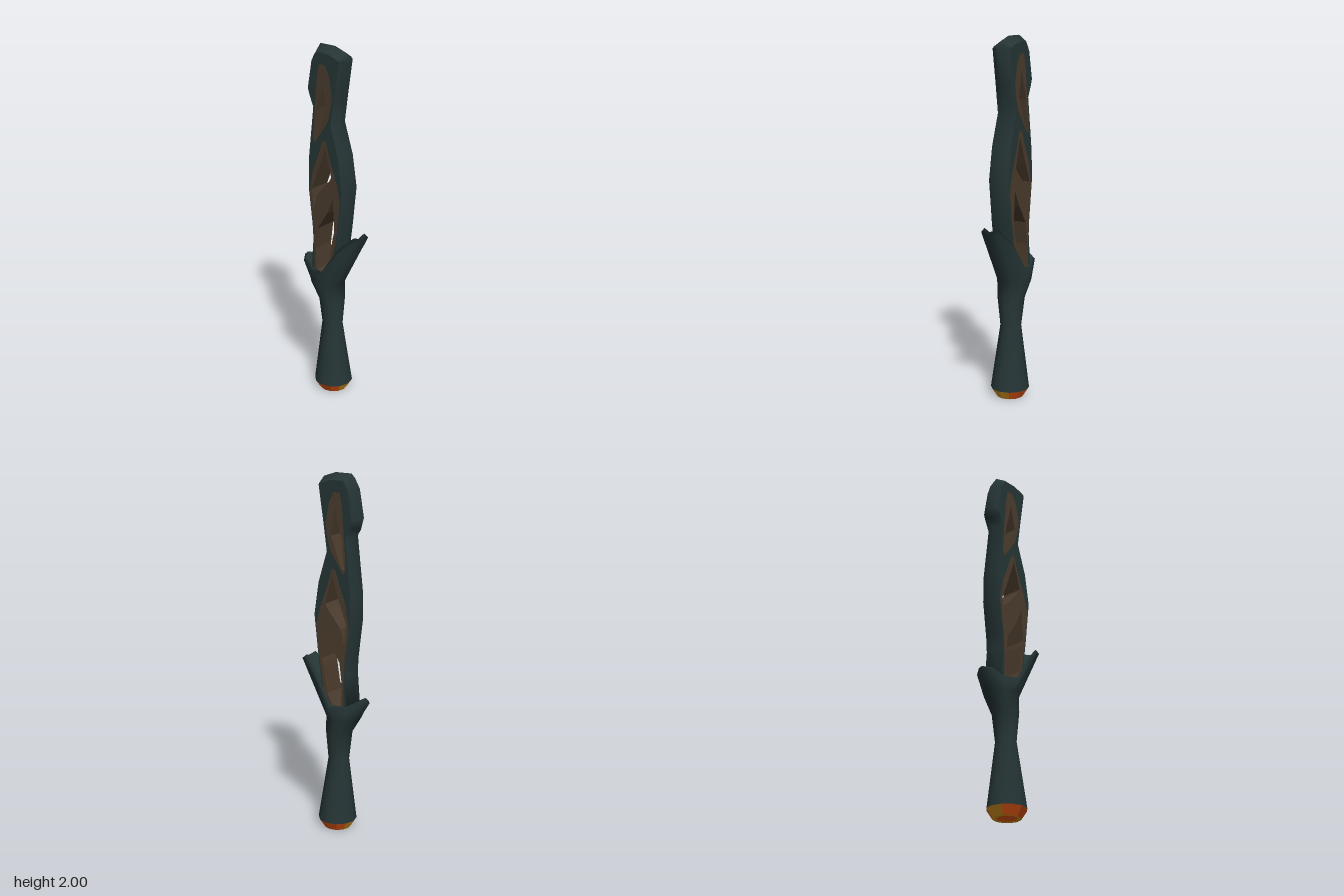
import * as THREE from 'three';

const mat = (name, color, side = THREE.DoubleSide) => {
  const m = new THREE.MeshStandardMaterial({ color, side });
  m.name = name;
  return m;
};

// Skin closed rings of [x, y, z] points that all have the same count
function loft(rings) {
  const n = rings[0].length, index = [];
  for (let r = 0; r < rings.length - 1; r++) {
    for (let i = 0; i < n; i++) {
      const a = r * n + i, b = r * n + (i + 1) % n;
      index.push(a, b, b + n, a, b + n, a + n);
    }
  }
  const g = new THREE.BufferGeometry();
  g.setAttribute('position', new THREE.Float32BufferAttribute(rings.flat(2), 3));
  g.setIndex(index);
  g.computeVertexNormals();
  return g;
}

const oval = (y, rx, rz, zc, n = 12) => Array.from({ length: n }, (_, i) => {
  const a = (i / n) * Math.PI * 2;
  return [rx * Math.sin(a), y, zc + rz * Math.cos(a)];
});

// The blade grows slightly thicker toward the guard
const widen = (y) => 1 + 0.16 * THREE.MathUtils.clamp((1.9 - y) / 0.8, 0, 1);

// Plate with holes, drawn as [z, y] outlines and centred on x = 0
function plate(outline, holes, half) {
  const pts = (list) => list.map(([z, y]) => new THREE.Vector2(-z, y));
  const shape = new THREE.Shape(pts(outline));
  holes.forEach((h) => shape.holes.push(new THREE.Path(pts(h))));
  const g = new THREE.ExtrudeGeometry(shape, { depth: 2 * half, bevelEnabled: false });
  g.translate(0, 0, -half).rotateY(Math.PI / 2);
  const p = g.attributes.position;
  for (let i = 0; i < p.count; i++) p.setX(i, p.getX(i) * widen(p.getY(i)));
  g.computeVertexNormals();
  return g;
}

// Move an outline inward, further around the broad tip
function inset(outline) {
  const n = outline.length;
  return outline.map(([z, y], i) => {
    const [z0, y0] = outline[(i + n - 1) % n], [z1, y1] = outline[(i + 1) % n];
    const dz = z1 - z0, dy = y1 - y0, d = (y > 1.7 ? 0.035 : 0.02) / Math.hypot(dz, dy);
    return [z - dy * d, y + dz * d];
  });
}

export function createModel() {
  const model = new THREE.Group();
  const green = mat('dark green', 0x263536);
  const brown = mat('bark brown', 0x4b3c2d);
  const orange = mat('orange', 0xe85a12);
  const amber = mat('amber', 0xe09a20);
  const add = (name, geometry, material) => {
    const m = new THREE.Mesh(geometry, material);
    m.name = name;
    model.add(m);
    return m;
  };

  // Handle flaring into the cup-shaped guard; half rim from front to back
  const halfRim = [
    [0, 0.955, 0.213], [0.052, 0.97, 0.193], [0.085, 0.885, 0.095], [0.107, 0.73, -0.017],
    [0.075, 0.725, -0.11], [0.052, 0.76, -0.18], [0, 0.77, -0.217],
  ];
  const rim = [...halfRim, ...halfRim.slice(1, 6).reverse().map(([x, y, z]) => [-x, y, z])];
  const lip = rim.map(([x, y, z]) => [x * 0.86, y + 0.02, -0.01 + (z + 0.01) * 0.9]);
  const inner = rim.map(([x, y, z]) => [x * 0.65, 0.69 + (y - 0.69) * 0.6, -0.03 + (z + 0.03) * 0.55]);
  add('handleAndGuard', loft([
    oval(0.05, 0.107, 0.108, -0.007),
    oval(0.41, 0.058, 0.058, -0.015),
    oval(0.57, 0.077, 0.072, -0.018),
    oval(0.665, 0.093, 0.1, -0.05),
    rim, lip, inner,
    oval(0.68, 0.002, 0.002, -0.04),
  ]), green);

  // Pommel: bevelled facets, amber at front and back, orange at the sides
  const pommelTop = oval(0.05, 0.107, 0.108, -0.007), pommelLow = oval(0, 0.075, 0.076, -0.007);
  const facets = loft([pommelLow, pommelTop]).toNonIndexed();
  facets.computeVertexNormals();
  for (let i = 0; i < 12; i++) {
    const amberFace = [0, 5, 6, 11].includes(i);
    facets.addGroup(i * 6, 6, amberFace ? 1 : 0);
  }
  add('pommelBevel', facets, [orange, amber]);
  add('pommelBase', loft([pommelLow, oval(0.002, 0.055, 0.055, -0.007)]), amber);
  add('pommelCup', loft([
    oval(0.002, 0.055, 0.055, -0.007), oval(0.02, 0.035, 0.035, -0.007), oval(0.02, 0.001, 0.001, -0.007),
  ]), orange);

  // Blade outline, up the front edge and down the back, as [z, y]
  const outline = [
    [0.04, 0.7], [0.075, 0.85], [0.095, 1.0], [0.122, 1.236], [0.095, 1.42], [0.042, 1.59],
    [0.08, 1.74], [0.111, 1.936], [0.08, 1.975], [0.005, 2.0], [-0.095, 2.0], [-0.143, 1.926],
    [-0.17, 1.767], [-0.154, 1.713], [-0.117, 1.67], [-0.149, 1.37], [-0.149, 1.21],
    [-0.122, 1.0], [-0.117, 0.92], [-0.13, 0.7],
  ];
  // Brown inlays and the openings cut through them
  const upperInlay = [
    [0, 1.6], [0.02, 1.67], [0.03, 1.74], [0.01, 1.846], [-0.02, 1.905], [-0.058, 1.905],
    [-0.074, 1.82], [-0.08, 1.74], [-0.09, 1.634], [-0.1, 1.5], [-0.085, 1.475], [-0.04, 1.54],
  ];
  const lowerInlay = [
    [0.035, 0.77], [0.052, 0.89], [0.07, 0.997], [0.09, 1.18], [0.064, 1.28], [0.02, 1.395],
    [-0.012, 1.5], [-0.035, 1.49], [-0.058, 1.42], [-0.1, 1.316], [-0.122, 1.18], [-0.098, 1.0],
    [-0.09, 0.865], [-0.09, 0.725], [0.02, 0.725],
  ];
  const topHole = [
    [-0.032, 1.82], [-0.005, 1.676], [-0.07, 1.51], [-0.09, 1.5], [-0.08, 1.6], [-0.074, 1.66], [-0.048, 1.755],
  ];
  const middleHole = [
    [-0.013, 1.464], [0.03, 1.305], [0.016, 1.28], [-0.07, 1.18], [-0.095, 1.09], [-0.106, 1.21], [-0.064, 1.316],
  ];
  const lowerHole = [
    [0.042, 1.183], [0.053, 0.997], [0.042, 0.96], [0.016, 0.8], [-0.02, 0.74],
    [-0.074, 0.74], [-0.08, 0.865], [-0.064, 0.99], [0, 1.09],
  ];
  const face = inset(outline);
  add('bladeFrame', plate(face, [upperInlay, lowerInlay], 0.055), green);
  add('upperInlay', plate(upperInlay, [topHole], 0.056), brown);
  add('lowerInlay', plate(lowerInlay, [middleHole, lowerHole], 0.056), brown);

  // Bevel rising from both faces to a ridge along the blade edge
  const side = (s) => face.map(([z, y]) => [s * 0.055 * widen(y), y, z]);
  add('bladeEdge', loft([side(1), outline.map(([z, y]) => [0, y, z]), side(-1)]), green);

  return model;
}
